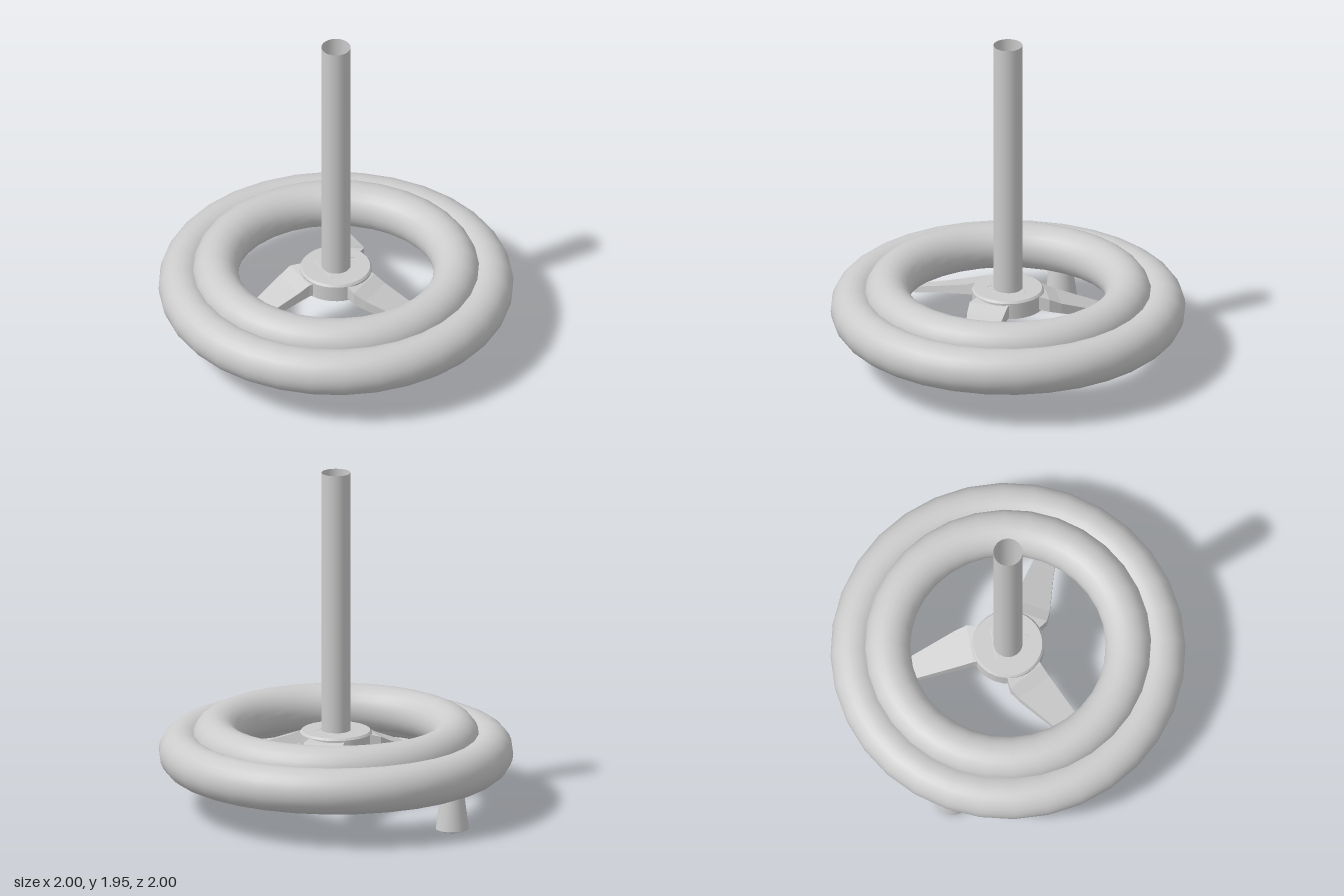
import * as THREE from 'three';

const grey = new THREE.MeshStandardMaterial({ color: 0xcccccc });
const flatGrey = new THREE.MeshStandardMaterial({ color: 0xcccccc, flatShading: true });
const openGrey = new THREE.MeshStandardMaterial({ color: 0xcccccc, side: THREE.DoubleSide });

function add(parent, name, geometry, material, x = 0, y = 0, z = 0) {
  const mesh = new THREE.Mesh(geometry, material);
  mesh.name = name;
  mesh.position.set(x, y, z);
  parent.add(mesh);
  return mesh;
}

// Revolve straight segments with a hard edge at every profile point
function turned(parent, name, points, segments, x, y, z) {
  const part = new THREE.Group();
  part.name = name;
  part.position.set(x, y, z);
  for (let i = 0; i < points.length - 1; i++) {
    const pair = [points[i], points[i + 1]].map(p => new THREE.Vector2(...p));
    add(part, name + 'Band', new THREE.LatheGeometry(pair, segments), grey);
  }
  parent.add(part);
}

// Dropped, tapering arm: each station is [x, top, bottom, zBack, zFront]
function spokeGeometry() {
  const stations = [
    [0.08, 0.456, 0.375, -0.09, 0.10],
    [0.21, 0.43, 0.355, -0.07, 0.155],
    [0.28, 0.395, 0.335, -0.068, 0.145],
    [0.55, 0.29, 0.25, -0.064, 0.07],
    [0.75, 0.215, 0.18, -0.06, 0.025],
  ];
  const n = stations.length - 1;
  const geometry = new THREE.BoxGeometry(n, 1, 1, n, 1, 1);
  const p = geometry.attributes.position;
  for (let i = 0; i < p.count; i++) {
    const [x, top, bottom, back, front] = stations[Math.round(p.getX(i) + n / 2)];
    p.setXYZ(i, x, p.getY(i) > 0 ? top : bottom, p.getZ(i) > 0 ? front : back);
  }
  geometry.computeVertexNormals();
  return geometry;
}

export function createModel() {
  const model = new THREE.Group();
  model.name = 'handwheel';

  // Two overlapping rim rings
  const ring = (name, radius, y) => {
    const geometry = new THREE.TorusGeometry(radius, 0.13, 24, 32).rotateX(Math.PI / 2);
    add(model, name, geometry, grey, 0, y, 0);
  };
  ring('outerRim', 0.87, 0.33);
  ring('innerRim', 0.68, 0.41);

  // Hub with a slightly bevelled top edge
  turned(model, 'hub', [[0, 0.35], [0.203, 0.35], [0.203, 0.443], [0.193, 0.455], [0, 0.455]], 32, 0, 0, 0);

  // Three spokes
  const arm = spokeGeometry();
  for (let i = 0; i < 3; i++) {
    add(model, 'spoke', arm, flatGrey).rotation.y = i * Math.PI * 2 / 3;
  }

  // Open tubular shaft
  add(model, 'shaft', new THREE.CylinderGeometry(0.082, 0.082, 1.535, 32, 1, true), openGrey, 0, 1.1875, 0);

  // Crank handle under the rim
  turned(model, 'handle', [[0, 0.003], [0.05, 0.006], [0.094, 0.022], [0.068, 0.22], [0.063, 0.26], [0, 0.26]],
    24, -0.838, 0, 0.02 * -1);

  return model;
}
